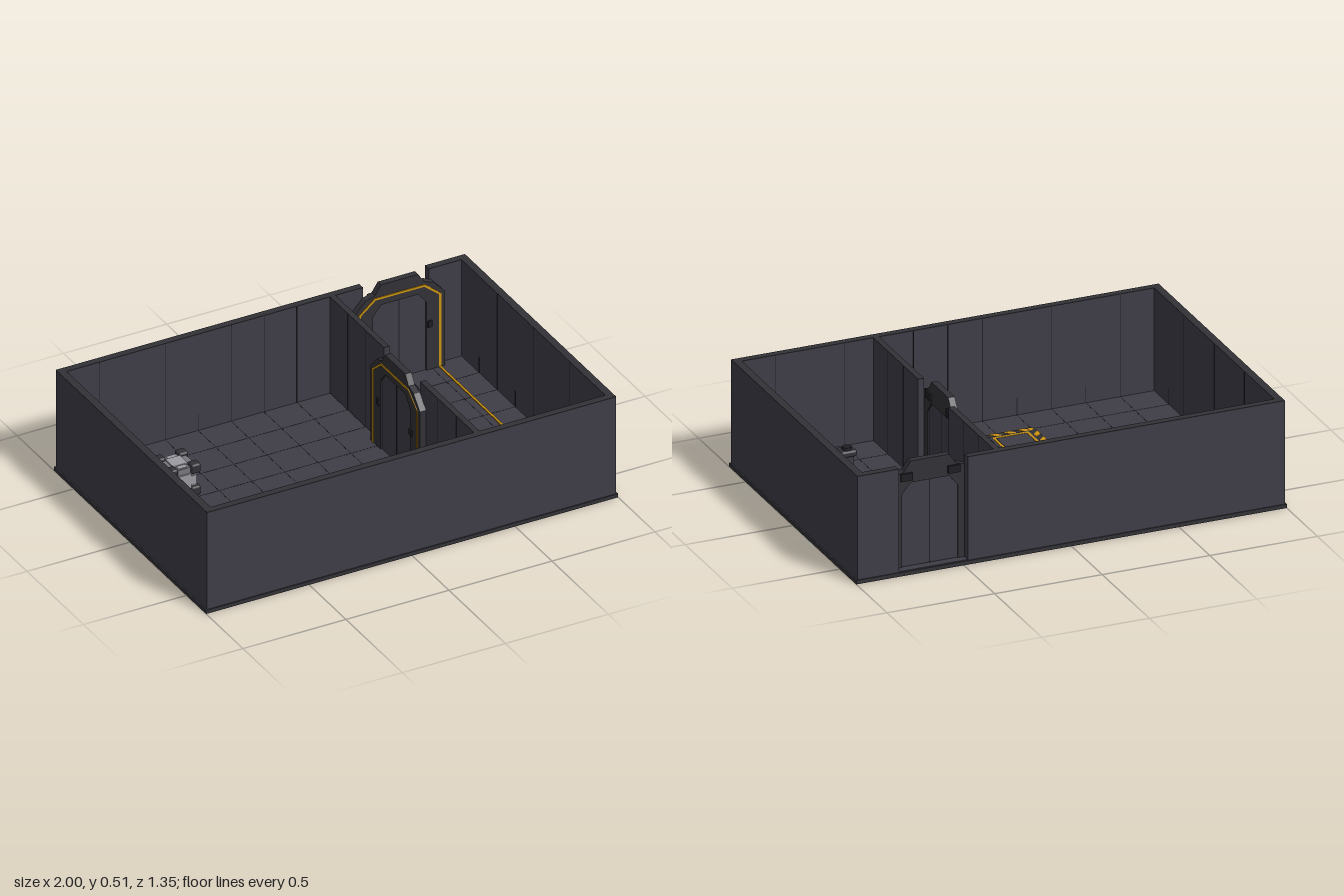
import * as THREE from 'three';
import { RoundedBoxGeometry } from 'three/addons/geometries/RoundedBoxGeometry.js';

const mat = (name, color) => new THREE.MeshStandardMaterial({ name, color });

export function createModel() {
  const M = {
    wall: mat('wall slate', 0x3e3d47),
    trim: mat('dark trim', 0x313137),
    seam: mat('seam black', 0x1f1e23),
    yellow: mat('warning yellow', 0xcc930f),
    light: mat('crate grey', 0x9c9ba1),
    mid: mat('crate mid grey', 0x77767d),
  };
  const root = new THREE.Group();
  root.name = 'twoRoomChamber';

  const add = (parent, name, geo, material, x = 0, y = 0, z = 0) => {
    const m = new THREE.Mesh(geo, material);
    m.name = name;
    m.position.set(x, y, z);
    parent.add(m);
    return m;
  };
  // Box given by its minimum and maximum corners
  const span = (parent, name, material, x0, x1, y0, y1, z0, z1) =>
    add(parent, name, new THREE.BoxGeometry(x1 - x0, y1 - y0, z1 - z0), material,
      (x0 + x1) / 2, (y0 + y1) / 2, (z0 + z1) / 2);
  const group = (name, x, y, z) => {
    const g = new THREE.Group();
    g.name = name;
    g.position.set(x, y, z);
    root.add(g);
    return g;
  };
  const shape = (pts) => new THREE.Shape(pts.map(([x, y]) => new THREE.Vector2(x, y)));
  // Mirrors the right half of an outline (bottom to top) in x
  const mirrored = (half) => [...half, ...half.slice().reverse().map(([x, y]) => [-x, y])];
  const extrude = (s, depth) => new THREE.ExtrudeGeometry(s, { depth, bevelEnabled: false });

  // Base slab and floor
  span(root, 'baseSlab', M.trim, -1, 1, 0, 0.018, -0.675, 0.675);
  span(root, 'floor', M.wall, -0.992, 0.992, 0.018, 0.021, -0.668, 0.668);
  for (let i = -5; i <= 5; i++)
    span(root, 'floorSeam', M.seam, i * 0.16 - 0.0015, i * 0.16 + 0.0015, 0.0205, 0.0215, -0.64, 0.64);
  for (let i = -3; i <= 3; i++)
    span(root, 'floorSeam', M.seam, -0.96, 0.96, 0.0205, 0.0215, i * 0.16 - 0.0015, i * 0.16 + 0.0015);

  // Walls with dark caps
  const wall = (name, x0, x1, z0, z1) => {
    span(root, name, M.wall, x0, x1, 0.018, 0.496, z0, z1);
    span(root, name + 'Cap', M.trim, x0, x1, 0.496, 0.5, z0, z1);
  };
  wall('frontWall', -0.993, 0.993, 0.637, 0.67);
  wall('leftWall', 0.958, 0.993, -0.637, 0.637);
  wall('rightWall', -0.993, -0.958, -0.637, 0.637);
  wall('backWall', -0.993, 0.48, -0.67, -0.637);
  wall('backWall', 0.8, 0.993, -0.67, -0.637);
  wall('partition', 0.32, 0.347, -0.637, -0.16);
  wall('partition', 0.32, 0.347, 0.16, 0.637);

  // Panel seams on the inner faces; every other one is a short skirting seam
  for (const x of [-0.8, -0.64, -0.48, -0.32, -0.16, 0, 0.16, 0.48, 0.64, 0.8]) {
    const tall = [-0.8, -0.48, -0.16, 0, 0.16, 0.48, 0.8].includes(x);
    const top = tall ? 0.495 : 0.1;
    span(root, 'wallSeam', M.seam, x - 0.0015, x + 0.0015, 0.02, top, 0.636, 0.6375);
    if (x < 0.45) span(root, 'wallSeam', M.seam, x - 0.0015, x + 0.0015, 0.02, top, -0.6375, -0.636);
  }
  for (const z of [-0.48, -0.32, -0.16, 0, 0.16, 0.32, 0.48]) {
    const top = Math.abs(z) === 0.32 || z === 0 ? 0.495 : 0.1;
    for (const s of [-1, 1])
      add(root, 'wallSeam', new THREE.BoxGeometry(0.0015, top - 0.02, 0.003), M.seam, s * 0.9575, (top + 0.02) / 2, z);
    if (Math.abs(z) > 0.2)
      for (const x of [0.3195, 0.3475])
        add(root, 'wallSeam', new THREE.BoxGeometry(0.001, 0.475, 0.003), M.seam, x, 0.2575, z);
  }

  // Doors: chamfered frame, two leaves, yellow outline on the local +z face
  const door = (name, x, z, turn) => {
    const g = group(name, x, 0, z);
    g.rotation.y = turn;
    const frame = shape(mirrored([[0.22, 0.02], [0.22, 0.39], [0.165, 0.45], [0.12, 0.465], [0.09, 0.51]]));
    const opening = [[0.13, 0.021], [0.13, 0.36], [0.09, 0.41]];
    frame.holes.push(new THREE.Path(mirrored(opening).map(([a, b]) => new THREE.Vector2(a, b))));
    add(g, 'doorFrame', extrude(frame, 0.03), M.trim, 0, 0, -0.015);
    add(g, 'doorLeaves', extrude(shape(mirrored(opening)), 0.016), M.wall, 0, 0, -0.008);
    for (const s of [-1, 1]) {
      span(g, 'doorSeam', M.seam, -0.002, 0.002, 0.021, 0.41, s * 0.0085 - 0.0005, s * 0.0085 + 0.0005);
      add(g, 'doorBracket', new THREE.BoxGeometry(0.055, 0.035, 0.012), M.seam, s * 0.11, 0.44, -0.018);
      add(g, 'doorBracket', new THREE.BoxGeometry(0.02, 0.03, 0.01), M.seam, s * 0.145, 0.25, 0.018);
    }
    // Outline strip
    const w = 0.01;
    const strip = mirrored([[0.2, 0.021], [0.2, 0.387], [0.122, 0.452]]);
    const inner = mirrored([[0.2 - w, 0.021], [0.2 - w, 0.383], [0.118, 0.452 - w]]).reverse();
    add(g, 'doorStripe', extrude(shape([...strip, ...inner]), 0.005), M.yellow, 0, 0, 0.014);
  };
  door('backDoor', 0.64, -0.619, 0);
  door('partitionDoor', 0.302, 0, -Math.PI / 2);

  // Floor cables
  const cable = (pts) => {
    for (let i = 1; i < pts.length; i++) {
      const [a, b] = pts[i - 1], [c, d] = pts[i], h = 0.005;
      span(root, 'cable', M.yellow, Math.min(a, c) - h, Math.max(a, c) + h, 0.02, 0.026,
        Math.min(b, d) - h, Math.max(b, d) + h);
    }
    for (const [a, b] of pts.slice(1, -1))
      add(root, 'cableJoint', new THREE.BoxGeometry(0.016, 0.008, 0.016), M.trim, a, 0.024, b);
  };
  cable([[-0.08, 0.35], [0.118, 0.35], [0.118, 0.187], [0.285, 0.187]]);
  cable([[0.65, 0.285], [0.835, 0.285], [0.835, -0.605]]);

  // Floor button with a hazard border
  const pad = group('floorButton', -0.2, 0, 0.35);
  const flat = (name, s, depth, material, y, parent = pad) => {
    const m = add(parent, name, extrude(s, depth), material, 0, y, 0);
    m.rotation.x = -Math.PI / 2;
    return m;
  };
  const cut = (r, c) => [[r, -r + c], [r, r - c], [r - c, r], [-r + c, r], [-r, r - c], [-r, -r + c], [-r + c, -r], [r - c, -r]];
  flat('padBase', shape(cut(0.128, 0.014)), 0.009, M.trim, 0.02);
  for (let side = 0; side < 4; side++) {
    const arm = new THREE.Group();
    arm.name = 'hazardSide';
    arm.rotation.y = side * Math.PI / 2;
    pad.add(arm);
    for (let k = 0; k < 4; k++) {
      const u = -0.124 + k * 0.066;
      flat('hazardStripe', shape([[u, 0.098], [u + 0.032, 0.098], [u + 0.006, 0.127], [u - 0.026 < -0.112 ? -0.112 : u - 0.026, 0.127]]),
        0.002, M.yellow, 0.0285, arm);
    }
  }
  flat('padPlate', shape(cut(0.096, 0.008)), 0.008, M.wall, 0.024);
  const ring = shape(cut(0.084, 0.002));
  ring.holes.push(new THREE.Path(cut(0.073, 0.002).map(([a, b]) => new THREE.Vector2(a, b))));
  flat('padRing', ring, 0.003, M.yellow, 0.031);
  flat('padCentre', shape(cut(0.07, 0.002)), 0.003, M.wall, 0.031);

  // Pedestal with a push button
  const ped = group('pedestal', 0.625, 0.02, 0.285);
  add(ped, 'pedestalFoot', new RoundedBoxGeometry(0.09, 0.025, 0.075, 2, 0.01), M.trim, 0, 0.0125, 0);
  add(ped, 'pedestalPost', new THREE.BoxGeometry(0.05, 0.11, 0.045), M.wall, 0, 0.075, 0);
  add(ped, 'pedestalHead', new RoundedBoxGeometry(0.075, 0.03, 0.065, 2, 0.01), M.trim, 0, 0.14, 0);
  add(ped, 'pedestalButton', new THREE.CylinderGeometry(0.02, 0.022, 0.012, 20), M.seam, 0, 0.16, 0);

  // Storage cube: grey core, raised face plates, dark corner blocks
  const cube = group('storageCube', -0.64, 0.099, -0.245);
  add(cube, 'cubeCore', new THREE.BoxGeometry(0.128, 0.128, 0.128), M.mid);
  const plates = [[0.142, 0.07, 0.07], [0.07, 0.142, 0.07], [0.07, 0.07, 0.142]];
  for (const p of plates) add(cube, 'cubePlate', new THREE.BoxGeometry(...p), M.light);
  const bars = [[0.134, 0.115, 0.04], [0.04, 0.134, 0.115], [0.115, 0.04, 0.134]];
  for (const p of bars) add(cube, 'cubeBar', new THREE.BoxGeometry(...p), M.light);
  for (const x of [-1, 1]) for (const y of [-1, 1]) for (const z of [-1, 1])
    add(cube, 'cubeCorner', new RoundedBoxGeometry(0.046, 0.046, 0.046, 2, 0.01), M.trim, x * 0.055, y * 0.055, z * 0.055);

  return root;
}
